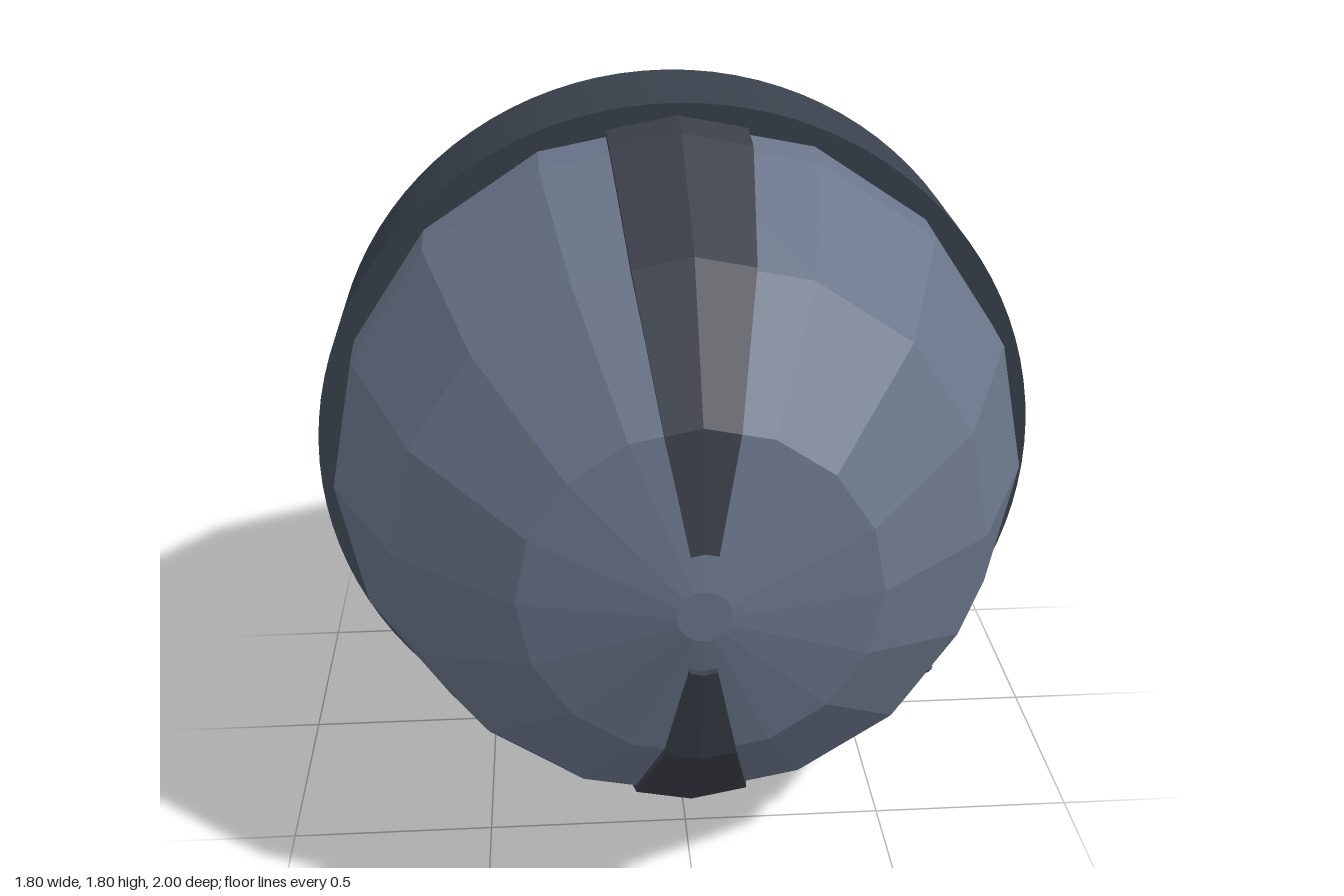
import * as THREE from 'three';
import { toCreasedNormals } from 'three/addons/utils/BufferGeometryUtils.js';

const SIDES = 16;
const FALL = Math.tan(Math.PI / SIDES); // drop of a facet away from its ridge
// Shell profile as [z, radius]
const PROFILE = [[0, 0.862], [0.32, 0.85], [0.68, 0.682], [0.92, 0.4], [1, 0.06]];

function radiusAt(z) {
  for (let i = 1; i < PROFILE.length; i++) {
    const [z0, r0] = PROFILE[i - 1], [z1, r1] = PROFILE[i];
    if (z <= z1) return r0 + (r1 - r0) * (z - z0) / (z1 - z0);
  }
  return 0;
}

function flat(geometry) {
  const g = geometry.index ? geometry.toNonIndexed() : geometry;
  g.computeVertexNormals();
  return g;
}

// Slab bent over a shell ridge (ridge along +y), from stations of [z, half width]
function slab(stations, lift, sink) {
  const pos = [], idx = [];
  for (const [z, w] of stations) {
    const r = radiusAt(z), len = Math.hypot(z, r);
    const point = (t, d) => {
      const k = 1 + d / len;
      pos.push(t, r * k - Math.abs(t) * FALL, z * k);
    };
    [-w, 0, w].forEach((t) => point(t, lift));
    [w, 0, -w].forEach((t) => point(t, -sink));
  }
  const n = stations.length;
  for (let i = 0; i < n - 1; i++) {
    for (let j = 0; j < 6; j++) {
      const a = i * 6 + j, b = i * 6 + (j + 1) % 6;
      idx.push(a, a + 6, b, b, a + 6, b + 6);
    }
  }
  const cap = [0, 5, 1, 1, 5, 4, 1, 4, 2, 2, 4, 3];
  cap.forEach((c) => idx.push(c + (n - 1) * 6));
  idx.push(...cap.slice().reverse());
  const g = new THREE.BufferGeometry();
  g.setAttribute('position', new THREE.Float32BufferAttribute(pos, 3));
  g.setIndex(idx);
  return flat(g);
}

export function createModel() {
  const paint = (name, color) => {
    const m = new THREE.MeshStandardMaterial({ color });
    m.name = name;
    return m;
  };
  const shellGrey = paint('shell blue grey', 0x6a758a);
  const bandGrey = paint('band dark grey', 0x39414c);
  const strapGrey = paint('strap dark grey', 0x3b3f4a);
  const slotGrey = paint('slot charcoal', 0x262a32);

  const model = new THREE.Group();
  model.name = 'bandedSphere';
  const core = new THREE.Group();
  core.name = 'core';
  core.position.y = 0.9;
  model.add(core);

  const add = (parent, name, geometry, material) => {
    const mesh = new THREE.Mesh(geometry, material);
    mesh.name = name;
    parent.add(mesh);
    return mesh;
  };

  // Faceted shell, its poles at front and back
  const half = PROFILE.map(([z, r]) => new THREE.Vector2(r, z));
  const outline = [
    new THREE.Vector2(0, -1),
    ...half.slice(1).reverse().map((p) => new THREE.Vector2(p.x, -p.y)),
    ...half,
    new THREE.Vector2(0, 1),
  ];
  add(core, 'shell', flat(new THREE.LatheGeometry(outline, SIDES).rotateX(Math.PI / 2)), shellGrey);

  // Smooth band around the middle
  const ring = [[0.8, -0.18], [0.9, -0.18], [0.9, 0.18], [0.8, 0.18]].map(([r, z]) => new THREE.Vector2(r, z));
  const bandGeometry = new THREE.LatheGeometry(ring, 96).rotateX(Math.PI / 2);
  add(core, 'band', toCreasedNormals(bandGeometry, 0.6), bandGrey);

  // Tapering straps: top and bottom, front and back
  const strapGeometry = slab([[0.15, 0.168], [0.32, 0.164], [0.68, 0.134], [0.92, 0.08], [0.98, 0.03]], 0.016, 0.02);
  for (const turn of [0, Math.PI]) {
    for (const roll of [0, Math.PI]) {
      const strap = add(core, (roll ? 'bottom' : 'top') + (turn ? 'Back' : 'Front') + 'Strap', strapGeometry, strapGrey);
      strap.rotation.set(0, turn, roll, 'ZYX');
    }
  }

  // Vent panels with two slots and four bolts each
  const plateGeometry = slab([[0.25, 0.136], [0.32, 0.136], [0.56, 0.136]], 0.012, 0.02);
  const boltGeometry = toCreasedNormals(new THREE.CylinderGeometry(0.01, 0.01, 0.016, 10), 0.6);
  const ventPanel = (name, turn, roll) => {
    const panel = new THREE.Group();
    panel.name = name;
    panel.rotation.set(0, turn, roll, 'ZYX');
    core.add(panel);
    add(panel, 'ventPlate', plateGeometry, shellGrey);
    for (const z of [0.345, 0.46]) {
      add(panel, 'ventSlot', slab([[z - 0.008, 0.105], [z + 0.008, 0.105]], 0.016, 0), slotGrey);
    }
    for (const z of [0.285, 0.525]) {
      for (const x of [-0.108, 0.108]) {
        const bolt = add(panel, 'bolt', boltGeometry, bandGrey);
        bolt.position.set(x, radiusAt(z) + 0.012 - Math.abs(x) * FALL, z);
        bolt.rotation.x = z > 0.32 ? 0.44 : 0.04;
      }
    }
  };
  ventPanel('lowerFrontVent', 0, -Math.PI * 0.75);
  ventPanel('upperBackVent', Math.PI, Math.PI * 0.25);

  return model;
}
